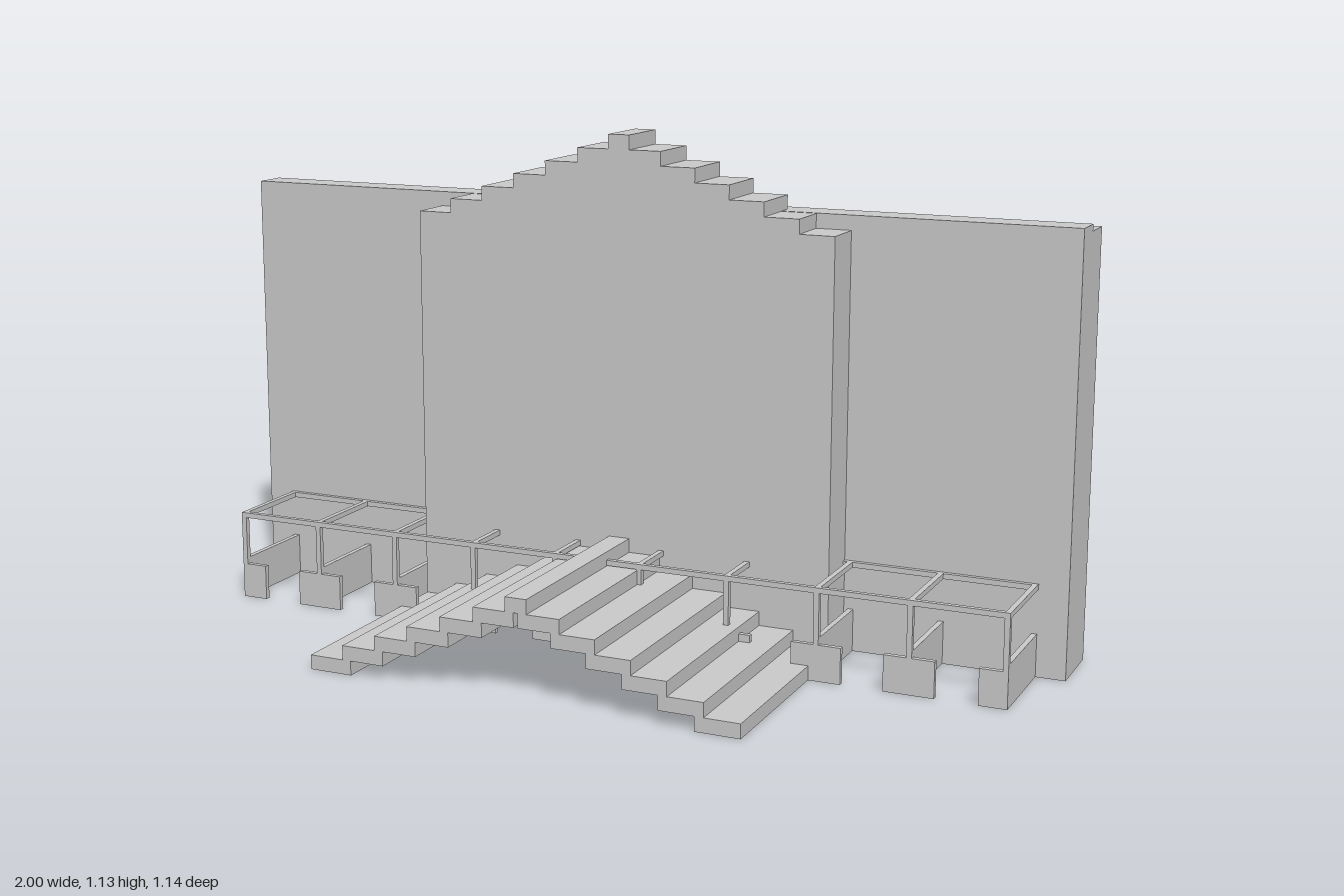
import * as THREE from 'three';

const material = new THREE.MeshStandardMaterial({ color: 0xcccccc, flatShading: true });
const RISE = 0.0322;
// Outer x of each step, from the lowest to the peak
const STEPS = [0.5, 0.42, 0.34, 0.26, 0.18, 0.1, 0.025];

// Box given by its minimum and maximum corners
function box(parent, name, x0, x1, y0, y1, z0, z1) {
  const mesh = new THREE.Mesh(new THREE.BoxGeometry(x1 - x0, y1 - y0, z1 - z0), material);
  mesh.position.set((x0 + x1) / 2, (y0 + y1) / 2, (z0 + z1) / 2);
  mesh.name = name;
  parent.add(mesh);
}

// Central slab with a stepped gable
function steppedPanel() {
  const shape = new THREE.Shape();
  shape.moveTo(-0.5, 0);
  shape.lineTo(0.5, 0);
  STEPS.forEach((x, i) => {
    const y = 0.937 + i * RISE;
    shape.lineTo(x, y);
    shape.lineTo(STEPS[i + 1] ?? -x, y);
  });
  for (let i = STEPS.length - 2; i >= 0; i--) {
    const y = 0.937 + i * RISE;
    shape.lineTo(-STEPS[i + 1], y);
    shape.lineTo(-STEPS[i], y);
  }
  const geometry = new THREE.ExtrudeGeometry(shape, { depth: 0.14, bevelEnabled: false });
  geometry.translate(0, 0, -0.07);
  const mesh = new THREE.Mesh(geometry, material);
  mesh.name = 'steppedPanel';
  return mesh;
}

// Double flight of slab steps rising to the middle
function stairs(name, z0, z1) {
  const group = new THREE.Group();
  group.name = name;
  STEPS.forEach((x, i) => {
    const y = i * RISE;
    if (i === STEPS.length - 1) {
      box(group, 'topStep', -x, x, y, y + RISE, z0, z1);
      return;
    }
    const inner = Math.max(STEPS[i + 1] - 0.02, 0);
    box(group, 'step', inner, x, y, y + RISE, z0, z1);
    box(group, 'step', -x, -inner, y, y + RISE, z0, z1);
  });
  return group;
}

// Open frame on ten legs along the front
function frontFrame() {
  const group = new THREE.Group();
  group.name = 'frontFrame';
  const t = 0.006, end = 0.934;
  box(group, 'frontRail', -end, end, 0.195, 0.207, 0.178, 0.19);
  for (const s of [-1, 1]) {
    const [a, b] = s < 0 ? [-end, -0.5] : [0.5, end];
    box(group, 'backRail', a, b, 0.195, 0.207, -0.034, -0.022);
  }
  for (let i = 0; i < 10; i++) {
    const x = (i - 4.5) * 0.2063;
    box(group, 'crossBar', x - t, x + t, 0.195, 0.207, -0.034, 0.18);
    box(group, 'post', x - t, x + t, 0.08, 0.2, 0.178, 0.19);
    box(group, 'legBoard', x - t, x + t, 0, 0.096, -0.034, 0.18);
    // End panels reach inward only
    const left = i === 0 ? t : 0.056;
    const right = i === 9 ? t : 0.056;
    box(group, 'legPanel', x - left, x + right, 0, 0.081, 0.178, 0.19);
  }
  return group;
}

export function createModel() {
  const model = new THREE.Group();
  model.name = 'steppedMonument';

  // Main wall with a raised front strip
  box(model, 'wallBack', -1, 1, 0, 0.955, -0.19, -0.11);
  box(model, 'wallFront', -1, 1, 0, 0.97, -0.11, -0.033);

  model.add(steppedPanel());
  model.add(stairs('frontStairs', 0.07, 0.572));
  model.add(stairs('backStairs', -0.572, -0.19));
  model.add(frontFrame());
  return model;
}
